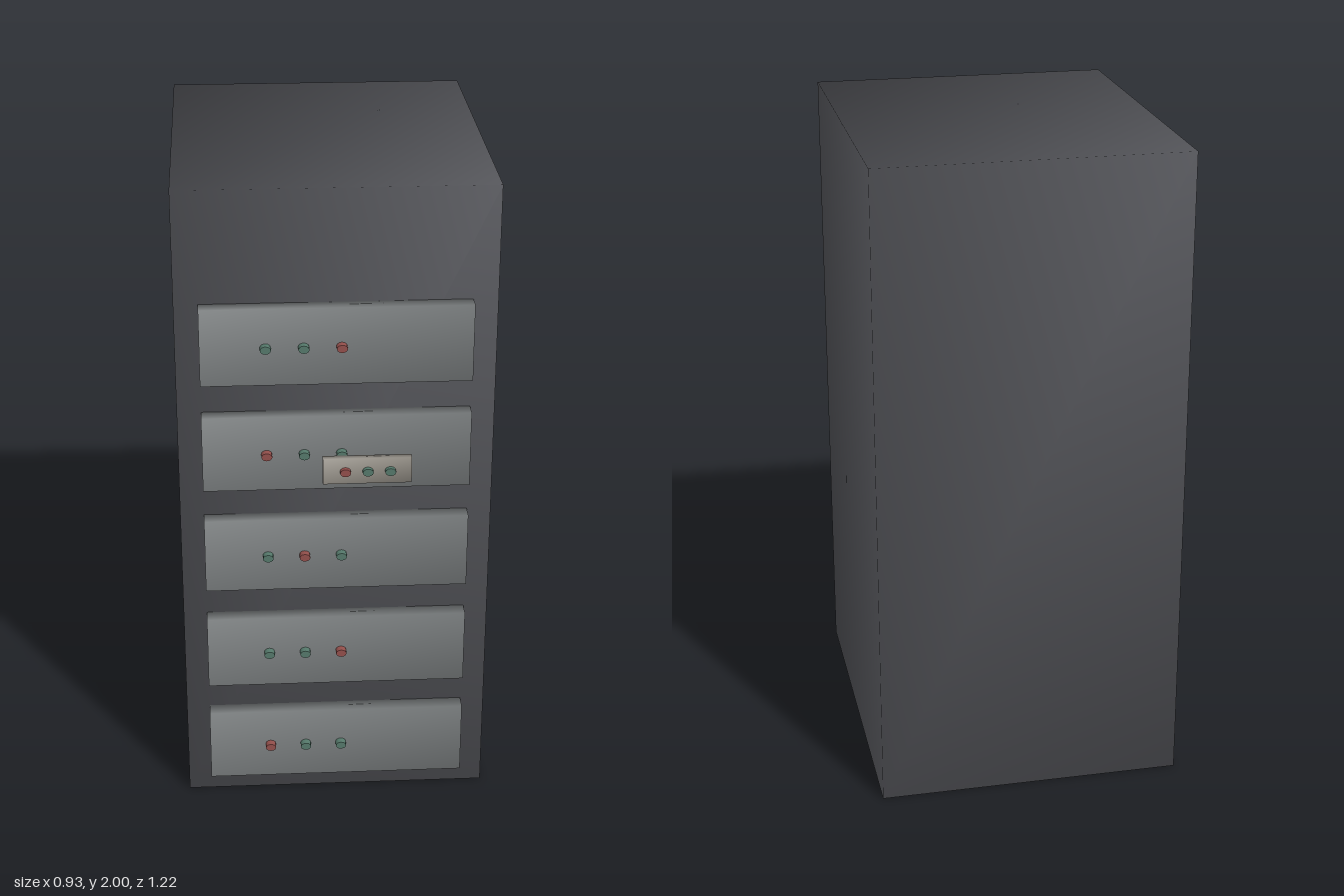
import * as THREE from 'three';
import { mergeVertices } from 'three/addons/utils/BufferGeometryUtils.js';

const paint = (color) => new THREE.MeshStandardMaterial({ color });
const cabinetPaint = paint(0x56575c);
const drawerPaint = paint(0x7c8081);
const platePaint = paint(0x9a958c);
const lampPaint = { g: paint(0x567a6c), r: paint(0x94504c) };

// Box given by its limits, with corners shared so that shading flows across the edges
function softBox(name, material, [x0, x1], [y0, y1], [z0, z1]) {
  let geometry = new THREE.BoxGeometry(x1 - x0, y1 - y0, z1 - z0);
  geometry.deleteAttribute('normal');
  geometry.deleteAttribute('uv');
  geometry = mergeVertices(geometry);
  geometry.computeVertexNormals();
  const mesh = new THREE.Mesh(geometry, material);
  mesh.name = name;
  mesh.position.set((x0 + x1) / 2, (y0 + y1) / 2, (z0 + z1) / 2);
  return mesh;
}

// Row of oval lamps facing +z; colors is a string such as 'grg'
function lampRow(colors, x0, step, y, z0, z1) {
  const row = new THREE.Group();
  row.name = 'lampRow';
  const geometry = new THREE.CylinderGeometry(0.016, 0.016, z1 - z0, 12);
  geometry.rotateX(Math.PI / 2);
  geometry.scale(1, 0.75, 1);
  [...colors].forEach((c, i) => {
    const lamp = new THREE.Mesh(geometry, lampPaint[c]);
    lamp.name = 'lamp';
    lamp.position.set(x0 + i * step, y, (z0 + z1) / 2);
    row.add(lamp);
  });
  return row;
}

export function createModel() {
  const model = new THREE.Group();
  model.name = 'rackCabinet';

  model.add(softBox('cabinet', cabinetPaint, [-0.468, 0.466], [0, 2], [-0.612, 0.497]));

  // Five stacked units, from the bottom up
  ['rgg', 'ggr', 'grg', 'rgg', 'ggr'].forEach((colors, i) => {
    const y = 0.075 + i * 0.3375;
    const unit = new THREE.Group();
    unit.name = 'rackUnit';
    unit.add(
      softBox('unitPanel', drawerPaint, [-0.397, 0.393], [y, y + 0.235], [0.497, 0.546]),
      lampRow(colors, -0.208, 0.11, y + 0.118, 0.546, 0.57),
    );
    model.add(unit);
  });

  // Small plate in front of the fourth unit
  const plate = new THREE.Group();
  plate.name = 'controlPlate';
  plate.add(
    softBox('platePanel', platePaint, [-0.046, 0.215], [1.127, 1.208], [0.574, 0.597]),
    lampRow('rgg', 0.02, 0.066, 1.168, 0.597, 0.612),
  );
  model.add(plate);

  return model;
}
